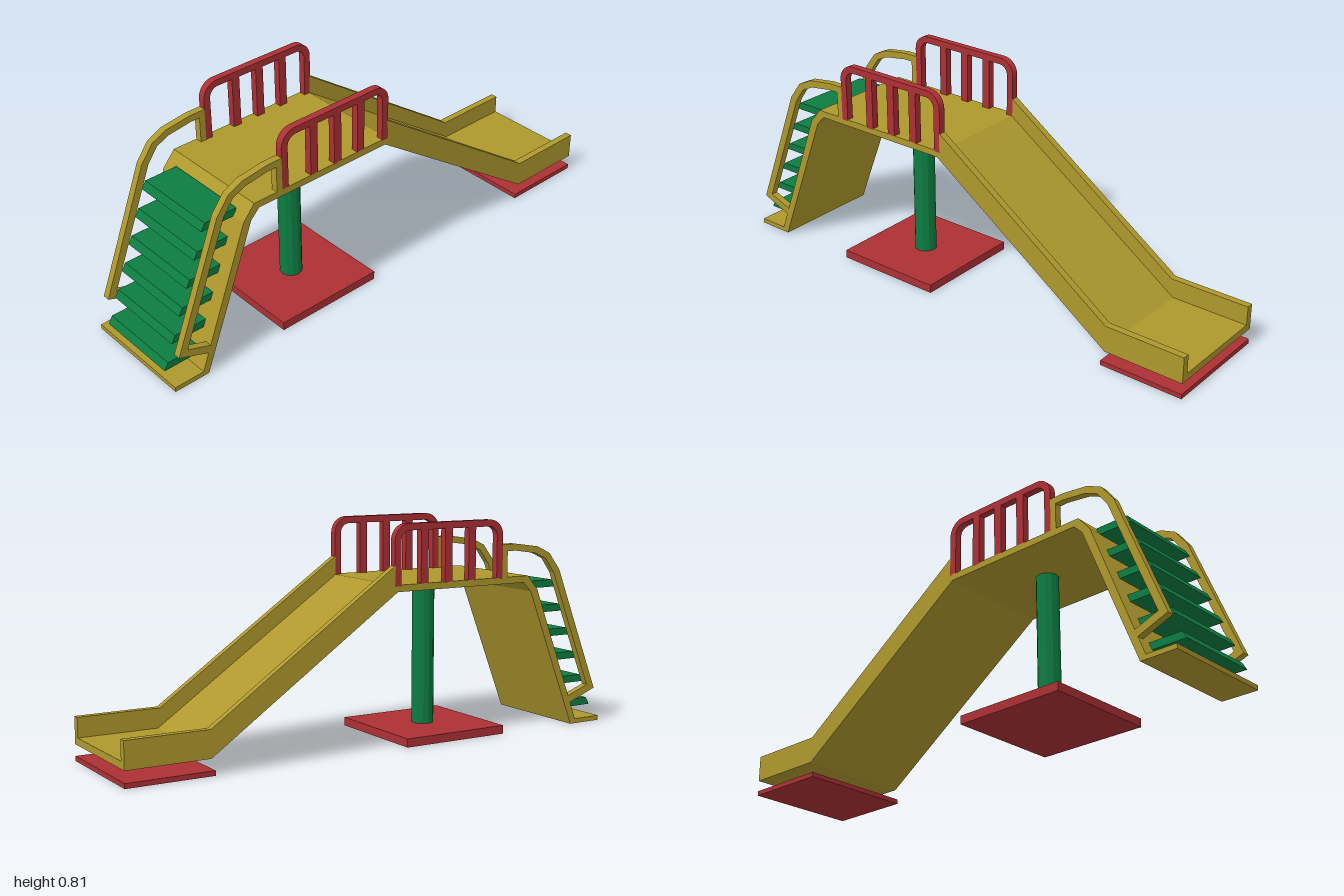
import * as THREE from 'three';

const HALF = 0.22;   // half width of the whole slide
const RAIL = 0.027;  // thickness of side walls and rails

export function createModel() {
  const model = new THREE.Group();
  model.name = 'playgroundSlide';
  const mat = (name, color) => {
    const m = new THREE.MeshStandardMaterial({ color });
    m.name = name;
    return m;
  };
  const gold = mat('gold', 0xae982d);
  const red = mat('red', 0xad3035);
  const green = mat('green', 0x0d7d41);

  const add = (name, geometry, material) => {
    const mesh = new THREE.Mesh(geometry, material);
    mesh.name = name;
    model.add(mesh);
    return mesh;
  };
  const outline = (pts) => new THREE.Shape(pts.map(([x, y]) => new THREE.Vector2(x, y)));
  // Side profile extruded across z from z0 to z1
  const slab = (name, shape, z0, z1, material) => {
    const g = new THREE.ExtrudeGeometry(shape, { depth: z1 - z0, bevelEnabled: false, curveSegments: 5 });
    g.translate(0, 0, z0);
    return add(name, g, material);
  };
  const bothSides = (name, shape, material) => {
    slab('left' + name, shape, HALF - RAIL, HALF, material);
    slab('right' + name, shape, -HALF, RAIL - HALF, material);
  };
  const box = (name, x0, x1, y0, y1, z, material) => {
    const g = new THREE.BoxGeometry(x1 - x0, y1 - y0, 2 * z);
    g.translate((x0 + x1) / 2, (y0 + y1) / 2, 0);
    add(name, g, material);
  };

  // Continuous sheet: foot, ladder back, platform, chute, run-out
  slab('slideBody', outline([
    [-1, 0], [-0.86, 0], [-0.65, 0.535], [-0.615, 0.57], [-0.05, 0.57], [0.69, 0.06], [1, 0.06],
    [1, 0.087], [0.7, 0.087], [-0.04, 0.595], [-0.635, 0.595], [-0.682, 0.54], [-0.882, 0.018], [-1, 0.018],
  ]), -HALF, HALF, gold);

  // Chute walls
  bothSides('ChuteWall', outline([
    [-0.04, 0.595], [0.7, 0.087], [1, 0.087], [1, 0.16], [0.69, 0.16], [-0.04, 0.665],
  ]), gold);

  // Ladder handrails: outer edge, then inner edge back down to the foot brace
  bothSides('Handrail', outline([
    [-0.975, 0.132], [-0.787, 0.61], [-0.738, 0.675], [-0.68, 0.703], [-0.575, 0.718], [-0.515, 0.718],
    [-0.515, 0.595], [-0.538, 0.595], [-0.538, 0.692], [-0.575, 0.692], [-0.67, 0.678], [-0.72, 0.655],
    [-0.76, 0.6], [-0.938, 0.148], [-0.83, 0.108], [-0.84, 0.08],
  ]), gold);

  // Guard rails: rounded frame with upright bars
  const guard = (x0, x1, top, r) => {
    const s = new THREE.Path();
    s.moveTo(x0, 0.59);
    s.lineTo(x0, top - r);
    s.absarc(x0 + r, top - r, r, Math.PI, Math.PI / 2, true);
    s.lineTo(x1 - r, top);
    s.absarc(x1 - r, top - r, r, Math.PI / 2, 0, true);
    s.lineTo(x1, 0.59);
    return s.getPoints(5);
  };
  const frame = new THREE.Shape([
    ...guard(-0.515, -0.037, 0.812, 0.06),
    ...guard(-0.488, -0.064, 0.787, 0.035).reverse(),
  ]);
  bothSides('GuardFrame', frame, red);
  for (const x of [-0.375, -0.27, -0.165]) {
    bothSides('GuardBar', outline([
      [x - 0.016, 0.59], [x + 0.016, 0.59], [x + 0.016, 0.79], [x - 0.016, 0.79],
    ]), red);
  }

  // Ladder steps, slanted at the front edge
  for (let i = 0; i < 6; i++) {
    const x = -1 + 0.0375 * i, y = 0.055 + 0.0965 * i;
    slab('step' + (i + 1), outline([
      [x, y], [x + 0.135, y], [x + 0.145, y + 0.028], [x + 0.016, y + 0.028],
    ]), -0.165, 0.165, green);
  }

  // Posts and ground plates
  const post = (name, x, y0, y1) => {
    const g = new THREE.CylinderGeometry(0.042, 0.042, y1 - y0, 12).toNonIndexed();
    g.computeVertexNormals();
    g.translate(x, (y0 + y1) / 2, 0);
    add(name, g, green);
  };
  post('mainPost', -0.31, 0.03, 0.575);
  post('exitPost', 0.84, 0.016, 0.065);
  box('mainBase', -0.53, -0.095, 0, 0.032, HALF, red);
  box('exitBase', 0.675, 1, 0, 0.018, HALF, red);

  return model;
}
